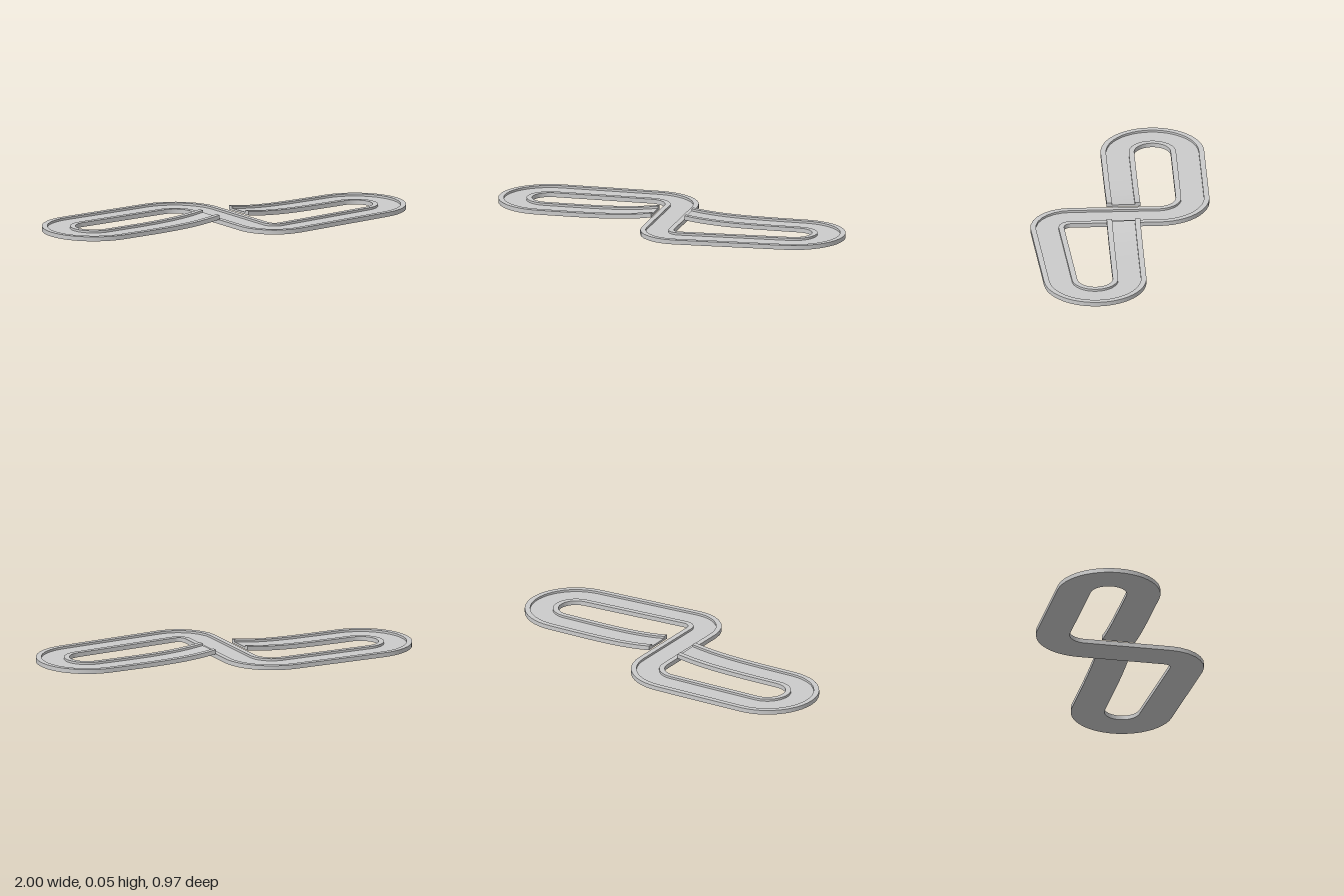
import * as THREE from 'three';
import { toCreasedNormals } from 'three/addons/utils/BufferGeometryUtils.js';

const HALF = 0.09, WALL = 0.029, HEIGHT = 0.024, FLOOR = 0.012;
const END = 0.093, LIFT = 0.026;

// Channel section: flat bed with a raised kerb on both sides (counter-clockwise)
const PROFILE = [
  [-HALF, 0], [HALF, 0], [HALF, HEIGHT], [HALF - WALL, HEIGHT],
  [HALF - WALL, FLOOR], [-HALF + WALL, FLOOR], [-HALF + WALL, HEIGHT], [-HALF, HEIGHT],
];
const CAP = [[0, 1, 4, 5], [1, 2, 3, 4], [0, 5, 6, 7]];

// Centre line stations: position, sideways direction and height
function buildStations() {
  const stations = [];
  const add = (x, z, nx, nz, y = 0) => stations.push({ x, z, nx, nz, y });
  const arc = (cx, cz, r, from, to, steps) => {
    const side = to > from ? 1 : -1;
    for (let i = 0; i <= steps; i++) {
      const a = THREE.MathUtils.degToRad(from + (to - from) * i / steps);
      const c = Math.cos(a), s = Math.sin(a);
      add(cx + r * c, cz + r * s, side * c, side * s);
    }
  };
  // Jump ramp height, steepening toward the gap
  const rise = (t) => LIFT * Math.pow(t, 4);
  const steps = 14;

  for (let i = 0; i < steps; i++) {
    const t = 1 - i / steps;
    add(-0.7225 + (0.7225 - END) * t, -0.025, 0, 1, rise(t));
  }
  arc(-0.7225, -0.2125, 0.1875, 90, 270, 24);   // left hairpin
  arc(-0.19, -0.21, 0.19, 270, 360, 12);        // back corner
  arc(0.125, 0.265, 0.13, 180, 86, 7);          // front corner
  arc(0.725, 0.17, 0.185, 86, -90, 24);         // right hairpin
  for (let i = 1; i <= steps; i++) {
    const t = i / steps;
    add(0.725 - (0.725 - END) * t, -0.015, 0, 1, rise(t));
  }
  return stations;
}

// Sweep the section along the stations and close both ends
function sweep(stations) {
  const positions = [];
  const rings = stations.map((s) => PROFILE.map(([u, y]) =>
    [s.x + s.nx * u, s.y + y, s.z + s.nz * u]));
  const quad = (a, b, c, d) => positions.push(...a, ...b, ...c, ...a, ...c, ...d);
  const n = PROFILE.length;
  for (let k = 0; k < rings.length - 1; k++) {
    for (let i = 0; i < n; i++) {
      const j = (i + 1) % n;
      quad(rings[k][i], rings[k][j], rings[k + 1][j], rings[k + 1][i]);
    }
  }
  const first = rings[0], last = rings[rings.length - 1];
  for (const [a, b, c, d] of CAP) {
    quad(first[d], first[c], first[b], first[a]);
    quad(last[a], last[b], last[c], last[d]);
  }
  const geometry = new THREE.BufferGeometry();
  geometry.setAttribute('position', new THREE.Float32BufferAttribute(positions, 3));
  return toCreasedNormals(geometry, Math.PI / 6);
}

export function createModel() {
  const group = new THREE.Group();
  group.name = 'raceTrack';

  // Flat figure-eight circuit with a jump over the crossing
  const stations = buildStations();
  // The ramp stations turn the same way as the hairpins, so all sides agree
  for (const s of stations.slice(-14)) s.nz = 1;
  const track = new THREE.Mesh(
    sweep(stations),
    new THREE.MeshStandardMaterial({ color: 0xcccccc }),
  );
  track.name = 'trackWithJumpRamps';
  group.add(track);
  return group;
}
